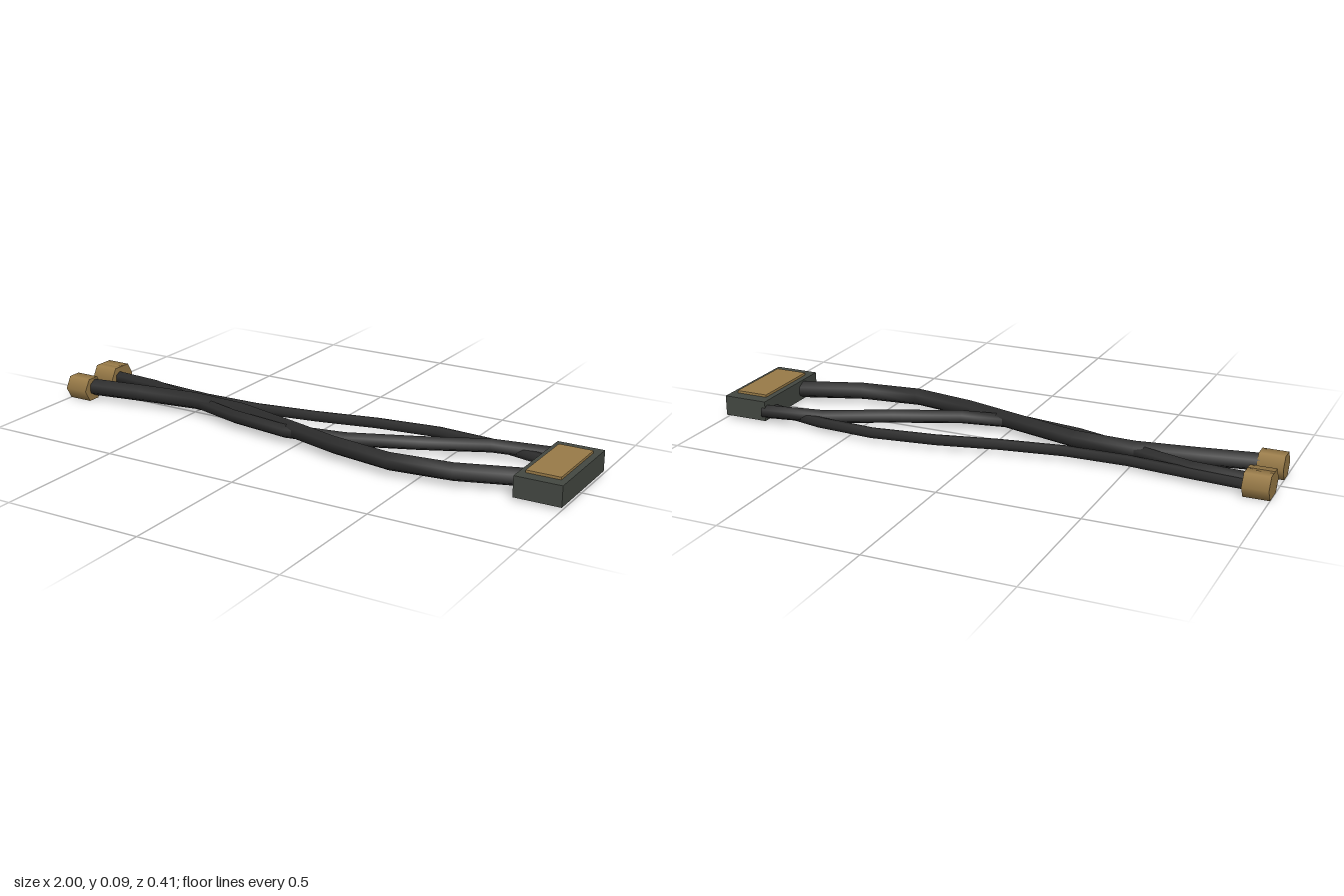
import * as THREE from 'three';

const mat = (color) => new THREE.MeshStandardMaterial({ color });
const rubber = mat(0x2c2c2c), casing = mat(0x444842), brass = mat(0x997b48);

function add(group, name, geometry, material, x, y, z) {
  const mesh = new THREE.Mesh(geometry, material);
  mesh.name = name;
  mesh.position.set(x, y, z);
  group.add(mesh);
  return mesh;
}

// Six-sided cable swept along +x through [x, z] points at a fixed height
function cableGeometry(points, radius, y, turn) {
  const sides = 6, pos = [], index = [];
  points.forEach(([x, z], i) => {
    const a = points[Math.max(i - 1, 0)], b = points[Math.min(i + 1, points.length - 1)];
    const dir = new THREE.Vector2(b[0] - a[0], b[1] - a[1]).normalize();
    for (let s = 0; s < sides; s++) {
      const t = turn + (s / sides) * Math.PI * 2;
      const across = Math.cos(t) * radius;
      pos.push(x - dir.y * across, y + Math.sin(t) * radius, z + dir.x * across);
      if (i === 0) continue;
      const n = (s + 1) % sides, p = (i - 1) * sides, q = i * sides;
      index.push(p + s, p + n, q + s, p + n, q + n, q + s);
    }
  });
  const g = new THREE.BufferGeometry();
  g.setAttribute('position', new THREE.Float32BufferAttribute(pos, 3));
  g.setIndex(index);
  g.computeVertexNormals();
  return g;
}

export function createModel() {
  const model = new THREE.Group();
  const xs = [-0.99, -0.91, -0.72, -0.5, -0.28, -0.05, 0.17, 0.4, 0.62, 0.85];

  // Three crossing cables: side offset at each station along the length
  const cables = [
    { name: 'thickCable', radius: 0.032, y: 0.053, turn: Math.PI / 6, collarZ: 0.078,
      zs: [0.078, 0.068, 0.035, 0.003, 0.013, 0.075, 0.137, 0.175, 0.15, 0.07] },
    { name: 'thinCable', radius: 0.019, y: 0.04, turn: 0, collarZ: -0.108,
      zs: [-0.108, -0.102, -0.088, -0.068, -0.073, -0.11, -0.16, -0.19, -0.175, -0.122] },
    { name: 'middleCable', radius: 0.025, y: 0.049, turn: Math.PI / 6, collarZ: -0.08,
      zs: [-0.08, -0.08, -0.065, 0.0, 0.064, 0.098, 0.06, -0.035, -0.14, -0.18] },
  ];
  for (const c of cables) {
    const path = xs.map((x, i) => [x, c.zs[i]]);
    const cable = add(model, c.name, cableGeometry(path, c.radius, c.y, c.turn), rubber, 0, 0, 0);
    cable.material.side = THREE.DoubleSide;

    // Hexagonal end collar, a corner pointing up
    const collar = new THREE.CylinderGeometry(0.048, 0.048, 0.09, 6);
    collar.rotateZ(Math.PI / 2);
    add(model, c.name + 'Collar', collar, brass, -0.955, 0.049, c.collarZ);
  }

  // Connector block with its raised plate
  add(model, 'connectorBlock', new THREE.BoxGeometry(0.165, 0.073, 0.36), casing, 0.9175, 0.0535, -0.012);
  add(model, 'connectorPlate', new THREE.BoxGeometry(0.12, 0.02, 0.272), brass, 0.917, 0.089, -0.011);
  return model;
}
